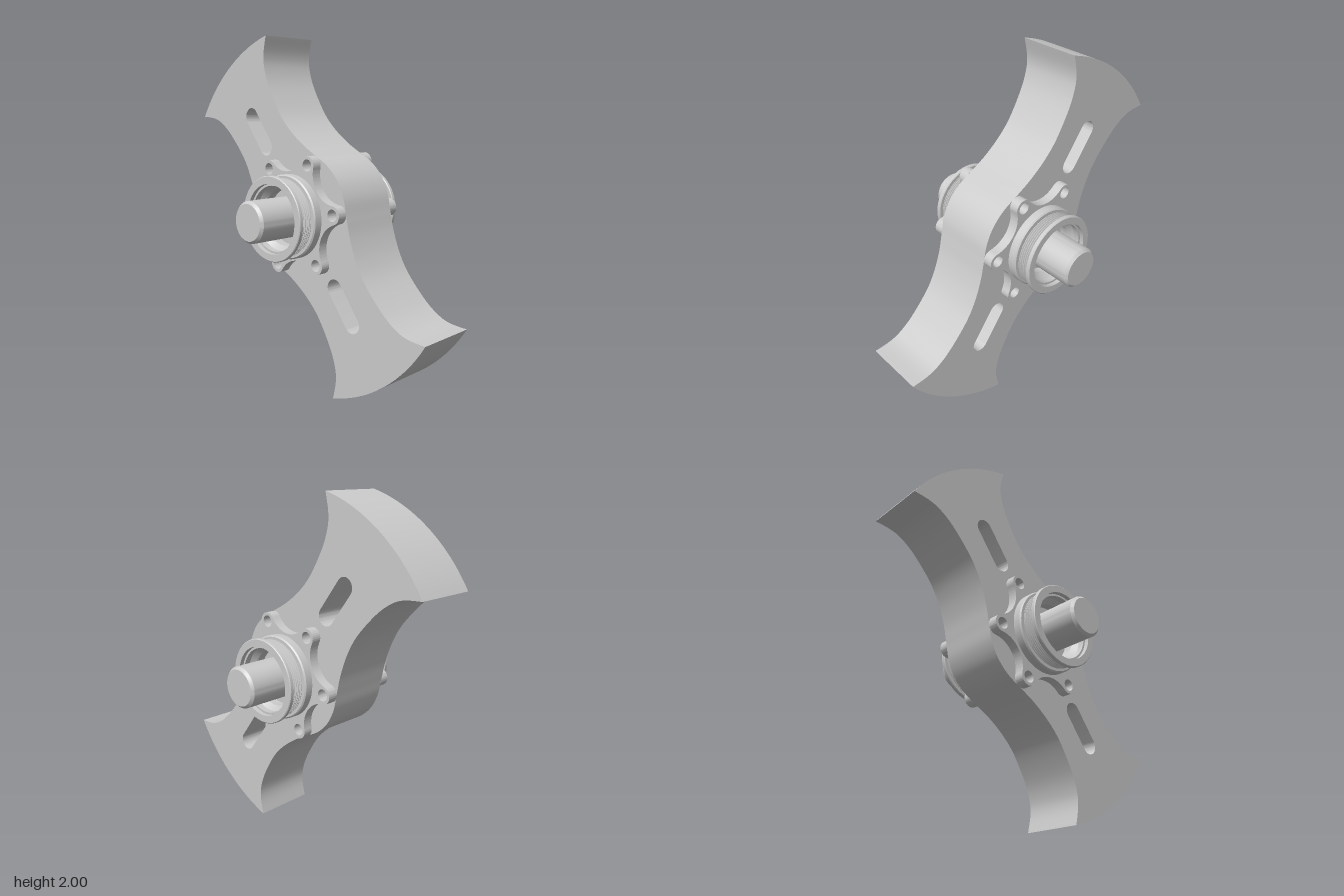
import * as THREE from 'three';
import { toCreasedNormals } from 'three/addons/utils/BufferGeometryUtils.js';

const TILT = 0.927; // lean of the blade axis
const HALF = 0.18; // half thickness of the blade
const BOLT_R = 0.314; // bolt circle radius
const material = new THREE.MeshStandardMaterial({ color: 0xcccccc });

function addMesh(parent, geometry, name, crease = 0.5) {
  const mesh = new THREE.Mesh(toCreasedNormals(geometry, crease), material);
  mesh.name = name;
  parent.add(mesh);
}

// Extrude a shape drawn along the blade axis so that it spans x0..x1
function plate(shape, x0, x1) {
  return new THREE.ExtrudeGeometry(shape, { depth: x1 - x0, bevelEnabled: false, curveSegments: 20 })
    .translate(0, 0, x0).rotateZ(TILT).rotateY(Math.PI / 2);
}

// Revolve [radius, x] pairs around the x axis
function turned(profile) {
  return new THREE.LatheGeometry(profile.map(([r, x]) => new THREE.Vector2(r, x)), 72).rotateZ(-Math.PI / 2);
}

function addBoltHoles(shape) {
  for (let k = 0; k < 6; k++) {
    const a = k * Math.PI / 3;
    shape.holes.push(new THREE.Path().absarc(BOLT_R * Math.cos(a), BOLT_R * Math.sin(a), 0.033, 0, Math.PI * 2, true));
  }
}

// Double-ended blade: waisted sides, round hub, arc-shaped ends
function bladeShape() {
  const half = [[0.962, 0.384], [0.895, 0.308], [0.828, 0.264], [0.72, 0.231], [0.55, 0.213],
    [0.424, 0.226], [0.3, 0.262], [0.197, 0.307], [0.1, 0.35], [0, 0.366]];
  const side = half.concat(half.slice(0, -1).reverse().map(([p, q]) => [-p, q]));
  const edge = new THREE.SplineCurve(side.map(([p, q]) => new THREE.Vector2(p, q))).getPoints(100);
  const tip = Math.atan2(0.384, 0.962);
  const outline = [];
  for (const s of [1, -1]) {
    edge.forEach((v) => outline.push(v.clone().multiplyScalar(s)));
    for (let i = 1; i < 24; i++) {
      const a = Math.PI - tip + 2 * tip * i / 24;
      outline.push(new THREE.Vector2(Math.cos(a), Math.sin(a)).multiplyScalar(1.036 * s));
    }
  }
  const shape = new THREE.Shape(outline);
  for (const s of [1, -1]) {
    const slot = new THREE.Path();
    slot.absarc(s * 0.571 + 0.106, 0, 0.052, -Math.PI / 2, Math.PI / 2, false);
    slot.absarc(s * 0.571 - 0.106, 0, 0.052, Math.PI / 2, Math.PI * 1.5, false);
    slot.closePath();
    shape.holes.push(slot);
  }
  addBoltHoles(shape);
  return shape;
}

// Six-lobed flange with scooped valleys tangent to each lobe
function flangeShape() {
  const shape = new THREE.Shape();
  const sweep = 1.384, scoop = 0.86;
  for (let k = 0; k < 6; k++) {
    const a = k * Math.PI / 3, b = a + Math.PI / 6;
    shape.absarc(BOLT_R * Math.cos(a), BOLT_R * Math.sin(a), 0.05, a - sweep, a + sweep, false);
    shape.absarc(0.407 * Math.cos(b), 0.407 * Math.sin(b), 0.157, b + Math.PI + scoop, b + Math.PI - scoop, true);
  }
  addBoltHoles(shape);
  return shape;
}

// Threaded collar with an end rim and a stepped bore
function collarProfile() {
  const profile = [[0.235, 0.2], [0.235, 0.278], [0.228, 0.285], [0.205, 0.285]];
  const turns = 6, start = 0.288, pitch = 0.0125;
  for (let i = 0; i < turns; i++) {
    const x = start + i * pitch;
    profile.push([0.2, x], [0.216, x + pitch * 0.4], [0.216, x + pitch * 0.6], [0.2, x + pitch]);
  }
  return profile.concat([[0.2, 0.364], [0.23, 0.364], [0.235, 0.368], [0.235, 0.386], [0.231, 0.39],
    [0.192, 0.39], [0.192, 0.365], [0.18, 0.365], [0.18, 0.33], [0.155, 0.3], [0.155, 0.25], [0.1, 0.25]]);
}

export function createModel() {
  const model = new THREE.Group();
  model.name = 'bladeRotor';

  addMesh(model, plate(bladeShape(), -HALF, HALF), 'blade');

  const flange = flangeShape();
  addMesh(model, plate(flange, HALF, 0.235), 'leftFlange');
  addMesh(model, plate(flange, -0.235, -HALF), 'rightFlange');

  const collar = turned(collarProfile());
  addMesh(model, collar, 'leftCollar');
  addMesh(model, collar.clone().rotateY(Math.PI), 'rightCollar');

  // Shaft through both collars with chamfered ends
  addMesh(model, turned([[0, -0.545], [0.1, -0.545], [0.114, -0.53], [0.114, 0.53], [0.1, 0.545], [0, 0.545]]), 'shaft');

  model.position.y = 1;
  return model;
}
